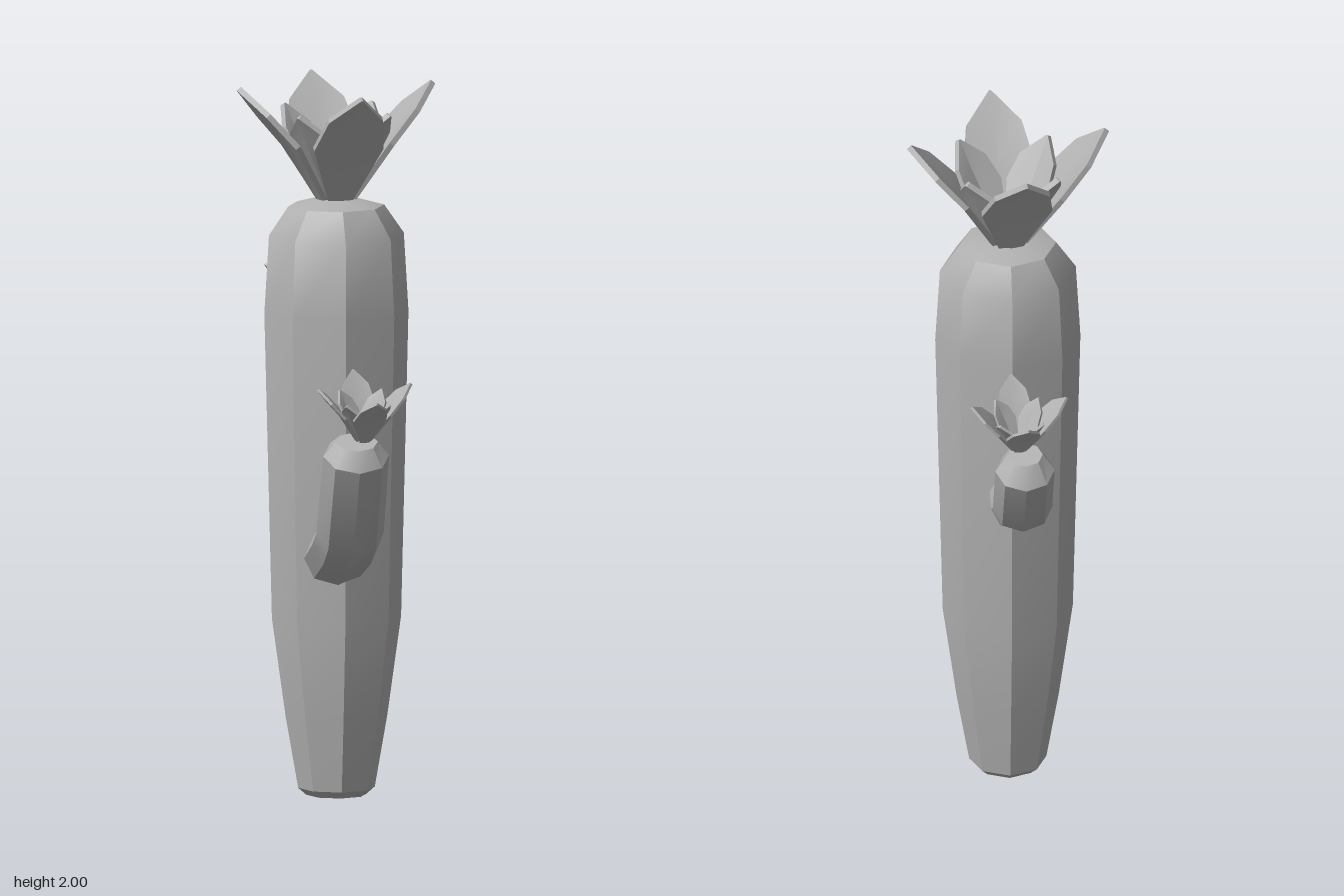
import * as THREE from 'three';
import { toCreasedNormals } from 'three/addons/utils/BufferGeometryUtils.js';

const grey = new THREE.MeshStandardMaterial({ color: 0xb2b2b2 });
grey.name = 'grey';

// Closed skin over a list of equal-length point rings
function skin(rings, crease) {
  const pos = [], n = rings[0].length;
  const tri = (...p) => p.forEach((v) => pos.push(v.x, v.y, v.z));
  for (let i = 0; i < rings.length - 1; i++) {
    for (let j = 0; j < n; j++) {
      const k = (j + 1) % n, a = rings[i], b = rings[i + 1];
      tri(a[j], b[j], a[k]);
      tri(a[k], b[j], b[k]);
    }
  }
  [rings[0], rings[rings.length - 1]].forEach((ring, end) => {
    const mid = new THREE.Vector3();
    ring.forEach((p) => mid.addScaledVector(p, 1 / n));
    for (let j = 0; j < n; j++) {
      const k = (j + 1) % n;
      if (end) tri(mid, ring[k], ring[j]);
      else tri(mid, ring[j], ring[k]);
    }
  });
  const g = new THREE.BufferGeometry();
  g.setAttribute('position', new THREE.Float32BufferAttribute(pos, 3));
  return toCreasedNormals(g, crease);
}

// Section point at (u, v) in a plane whose normal leans by angle a from +y to +z
const place = (x, y, z, a, u, v) =>
  new THREE.Vector3(x + u, y - v * Math.sin(a), z + v * Math.cos(a));

function mesh(name, geometry) {
  const m = new THREE.Mesh(geometry, grey);
  m.name = name;
  return m;
}

// Eight-sided stem; each station is [y, z, lean in degrees, half width, half depth]
function stem(name, x, stations) {
  const rings = stations.map(([y, z, lean, w, d]) => Array.from({ length: 8 }, (_, i) => {
    const t = i * Math.PI / 4;
    return place(x, y, z, lean * Math.PI / 180, w * Math.cos(t), d * Math.sin(t));
  }));
  return mesh(name, skin(rings, 0.62));
}

// Folded leaf-shaped petal; each station is [out, up, half width, fold]
function petalGeometry(stations, lean) {
  const t = 0.008;
  return skin(stations.map(([out, up, w, f]) => [
    [w, -t], [w, t], [0, t + f], [-w, t], [-w, -t], [0, f - t],
  ].map(([u, v]) => place(0, up, out, lean, u, v))), 0.35);
}

const outerPetal = petalGeometry([
  [0.035, -0.01, 0.03, 0.006], [0.135, 0.16, 0.1, 0.012],
  [0.215, 0.25, 0.078, 0.01], [0.28, 0.318, 0.003, 0],
], 0.72);
const innerPetal = petalGeometry([
  [0.02, -0.01, 0.025, 0.006], [0.09, 0.13, 0.072, 0.018],
  [0.135, 0.195, 0.06, 0.014], [0.18, 0.25, 0.003, 0],
], 0.55);

// Flower with four spread petals and four upright ones between them
function flower(name, x, y, z, scale, tilt) {
  const g = new THREE.Group();
  g.name = name;
  for (let i = 0; i < 4; i++) {
    const turn = 0.12 + i * Math.PI / 2;
    const outer = mesh('outerPetal', outerPetal);
    outer.rotation.y = turn;
    const inner = mesh('innerPetal', innerPetal);
    inner.rotation.y = turn + Math.PI / 4 - 0.08;
    g.add(outer, inner);
  }
  g.position.set(x, y, z);
  g.scale.setScalar(scale);
  g.rotation.x = tilt;
  return g;
}

export function createModel() {
  const model = new THREE.Group();
  model.name = 'floweringCactus';

  model.add(stem('trunk', 0, [
    [0, -0.035, 0, 0.085, 0.085], [0.02, -0.035, 0, 0.108, 0.108],
    [0.22, -0.035, 0, 0.143, 0.143], [0.5, -0.035, 0, 0.182, 0.182],
    [1.36, -0.037, 0, 0.203, 0.2], [1.58, -0.037, 0, 0.19, 0.19],
    [1.66, -0.04, 0, 0.135, 0.135], [1.68, -0.04, 0, 0.06, 0.06],
  ]));

  model.add(stem('frontArm', -0.02, [
    [0.68, 0.08, 72, 0.09, 0.08], [0.755, 0.3, 65, 0.095, 0.083],
    [0.8, 0.385, 42, 0.095, 0.085], [1.035, 0.508, 28, 0.093, 0.087],
    [1.075, 0.518, 22, 0.06, 0.052],
  ]));

  model.add(stem('backArm', -0.015, [
    [0.955, -0.17, -78, 0.075, 0.06], [0.995, -0.36, -74, 0.083, 0.068],
    [1.04, -0.44, -48, 0.083, 0.07], [1.215, -0.545, -25, 0.083, 0.073],
    [1.265, -0.545, -18, 0.05, 0.045],
  ]));

  model.add(flower('topFlower', 0, 1.68, -0.045, 1, 0));
  model.add(flower('frontFlower', 0, 1.085, 0.505, 0.48, 0.23));
  model.add(flower('backFlower', 0, 1.275, -0.512, 0.48, -0.15));
  return model;
}
